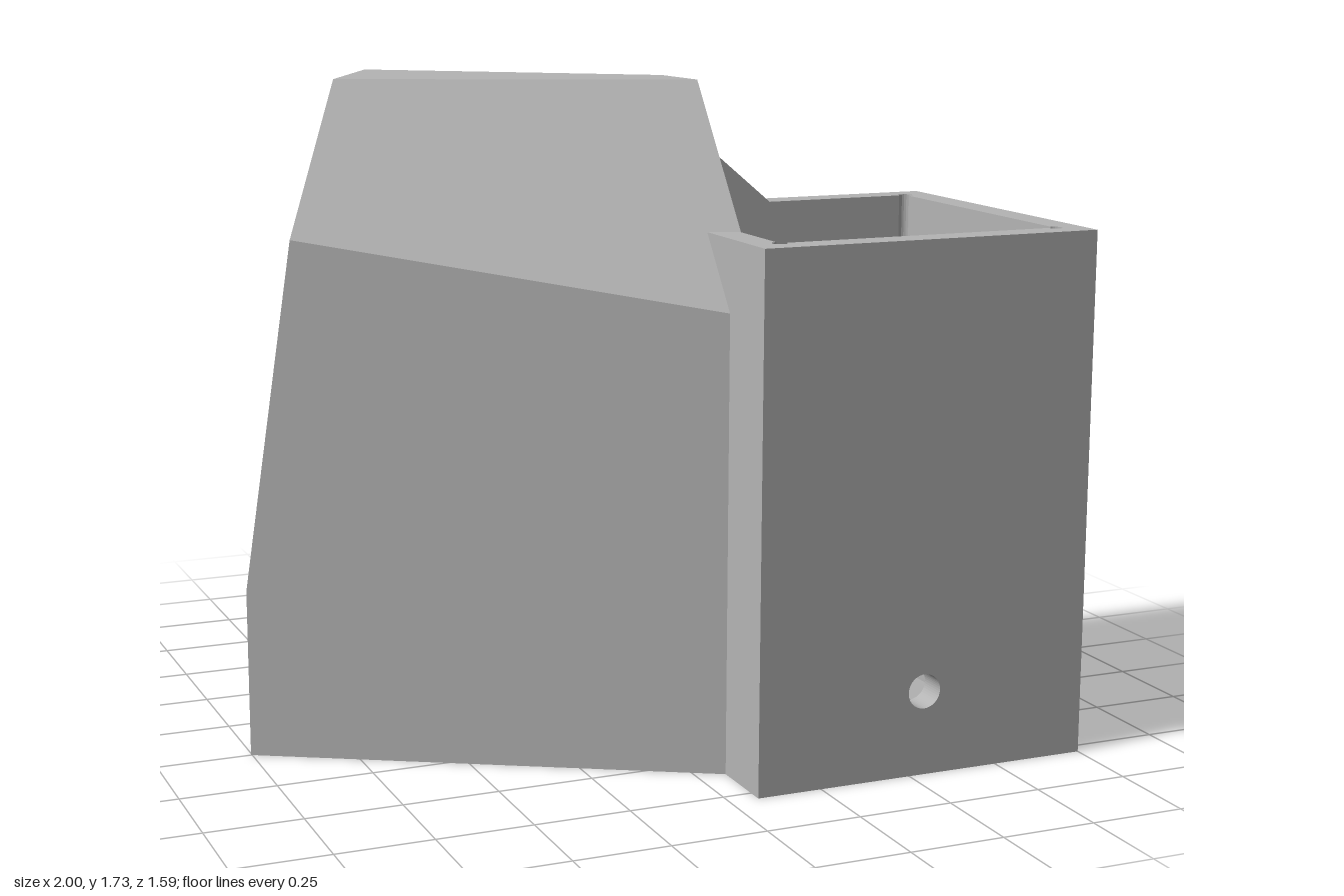
import * as THREE from 'three';

const TILT = 0.15;                 // fall of the roof and pocket per unit of length
const HW = 0.457, CREASE = 0.44, TOP = 1.73, BOX_H = 1.37, R = 0.02;

// point in the wing's own frame: s along its length, w across, y up
const P = (s, w, y) => new THREE.Vector3(-0.78 + 0.873 * s + 0.488 * w, y, -0.4 + 0.488 * s - 0.873 * w);
// roof height above a plan point
function roofY(x, z) {
  const s = (x + 0.78) * 0.873 + (z + 0.4) * 0.488;
  const w = (x + 0.78) * 0.488 - (z + 0.4) * 0.873;
  return Math.min(TOP, 1.37 - TILT * s + 1.45 * (HW - Math.abs(w)));
}
// points of an arc in two dimensions
function arc(cx, cy, r, from, to, n = 15) {
  return Array.from({ length: n + 1 }, (_, i) => {
    const t = from + (to - from) * i / n;
    return new THREE.Vector2(cx + r * Math.cos(t), cy + r * Math.sin(t));
  });
}

// collects planar sheets and ruled strips into one geometry
function surface() {
  const pos = [];
  const tri = (a, b, c) => { for (const p of [a, b, c]) pos.push(p.x, p.y, p.z); };
  return {
    sheet(loop, facing, hole) {
      const n = facing.clone().normalize();
      const u = new THREE.Vector3(0, 1, 0);
      if (Math.abs(n.y) > 0.9) u.set(1, 0, 0);
      u.cross(n).normalize();
      const v = n.clone().cross(u);
      const flat = l => l.map(p => new THREE.Vector2(p.dot(u), p.dot(v)));
      const all = hole ? [...loop, ...hole] : loop;
      for (const f of THREE.ShapeUtils.triangulateShape(flat(loop), hole ? [flat(hole)] : [])) {
        const [a, b, c] = f.map(i => all[i]);
        const m = b.clone().sub(a).cross(c.clone().sub(a));
        if (m.dot(n) > 0) tri(a, b, c); else tri(a, c, b);
      }
    },
    strip(a, b, closed) {
      for (let i = 0; i < a.length - (closed ? 0 : 1); i++) {
        const j = (i + 1) % a.length;
        tri(a[i], a[j], b[j]);
        tri(a[i], b[j], b[i]);
      }
    },
    build() {
      const g = new THREE.BufferGeometry();
      g.setAttribute('position', new THREE.Float32BufferAttribute(pos, 3));
      g.computeVertexNormals();
      return g;
    }
  };
}

function wingGeometry() {
  const out = surface();
  const up = new THREE.Vector3(0, 1, 0), down = new THREE.Vector3(0, -1, 0);
  const across = new THREE.Vector3(0.488, 0, -0.873);
  const outward = new THREE.Vector3(-0.873, 0, -0.488);
  const slant = new THREE.Vector3(-0.873, TILT, -0.488);
  const face = (w, y) => P(TILT * (y - CREASE), w, y);   // on the leaning end face

  // plan path where the wing meets the bin's inside, with the round corner relief
  const plan = [[0.153, 0.644], [0.153, 0.227], [0.153, 0]].map(p => new THREE.Vector2(...p));
  plan.push(...arc(0.153, -0.055, R, Math.PI / 2, Math.PI * 2), new THREE.Vector2(0.774, -0.055));
  const rearTop = plan.map(p => new THREE.Vector3(p.x, roofY(p.x, p.y), p.y));
  const rearMid = rearTop.map(p => new THREE.Vector3(p.x, Math.min(p.y, BOX_H), p.z));
  const rearLow = rearTop.map(p => new THREE.Vector3(p.x, 0, p.z));
  const last = rearTop.length - 1;

  // pocket outline on the end face, with round reliefs in the floor corners
  const c = 0.384, f = 0.53;
  const mouth2 = [
    ...arc(-c, f, R, 0, -1.5 * Math.PI),
    ...[[-c, 1.27], [-0.107, 1.65], [0.107, 1.65], [c, 1.27]].map(p => new THREE.Vector2(...p)),
    ...arc(c, f, R, Math.PI / 2, -Math.PI)
  ];
  const L = 0.78;
  const mouth = mouth2.map(p => face(p.x, p.y));
  const inner = mouth2.map(p => P(TILT * (p.y - CREASE) + L, p.x, p.y - TILT * L));

  // outer corners on the far end, one list for each side
  const [lo, hi] = [-1, 1].map(k => ({
    base: P(0, k * HW, 0), crease: P(0, k * HW, CREASE),
    eave: face(k * HW, 1.3495), top: face(k * 0.189, TOP)
  }));

  out.sheet([lo.base, hi.base, hi.crease, lo.crease], outward);
  out.sheet([lo.crease, hi.crease, hi.eave, hi.top, lo.top, lo.eave], slant, mouth);
  out.strip(mouth, inner, true);
  out.sheet(inner, slant);
  // side walls
  out.sheet([lo.base, lo.crease, lo.eave, rearTop[0], rearLow[0]], across.clone().negate());
  out.sheet([hi.base, hi.crease, hi.eave, rearTop[last], rearLow[last]], across);
  // roof slopes, flat ridge and underside
  out.sheet([lo.eave, rearTop[0], rearTop[1], lo.top], up);
  out.sheet([lo.top, rearTop[1], rearTop[2], hi.top], up);
  out.sheet([hi.top, ...rearTop.slice(2), hi.eave], up);
  out.sheet([lo.base, ...rearLow, hi.base], down);
  // cut face above the bin
  out.strip(rearMid, rearTop);
  return out.build();
}

export function createModel() {
  const model = new THREE.Group();
  const grey = new THREE.MeshStandardMaterial({ color: 0xb4b4b4 });
  grey.name = 'plain grey';
  const add = (name, geometry, parent) => {
    const mesh = new THREE.Mesh(geometry, grey);
    mesh.name = name;
    parent.add(mesh);
    return mesh;
  };

  // square open bin
  const bin = new THREE.Group();
  bin.name = 'bin';
  bin.position.set(0.538, 0, 0.33);
  model.add(bin);
  const o = 0.462, i = 0.385;
  const V = (x, y) => new THREE.Vector2(x, y);
  const outline = [V(-i + R, -o), V(-o, -o), V(-o, o), V(o, o), V(o, -o), V(i - R, -o)];
  [[i, -i], [i, i], [-i, i], [-i, -i]].forEach(([x, y], k) => {
    const t = Math.PI * (1 + k / 2);
    outline.push(...arc(x, y, R, t, t + 1.5 * Math.PI));
  });
  const walls = new THREE.ExtrudeGeometry(new THREE.Shape(outline), { depth: BOX_H, bevelEnabled: false });
  add('binWalls', walls.rotateX(-Math.PI / 2), bin);

  // front wall with its small round hole
  const front = new THREE.Shape([V(-i + R, 0), V(i - R, 0), V(i - R, BOX_H), V(-i + R, BOX_H)]);
  front.holes.push(new THREE.Path().absarc(0, 0.22, 0.045, 0, Math.PI * 2, true));
  const panel = new THREE.ExtrudeGeometry(front, { depth: o - i, bevelEnabled: false, curveSegments: 24 });
  add('frontWall', panel, bin).position.z = i;

  // angled wing with a gabled roof and a deep pocket
  add('wing', wingGeometry(), model);
  return model;
}
